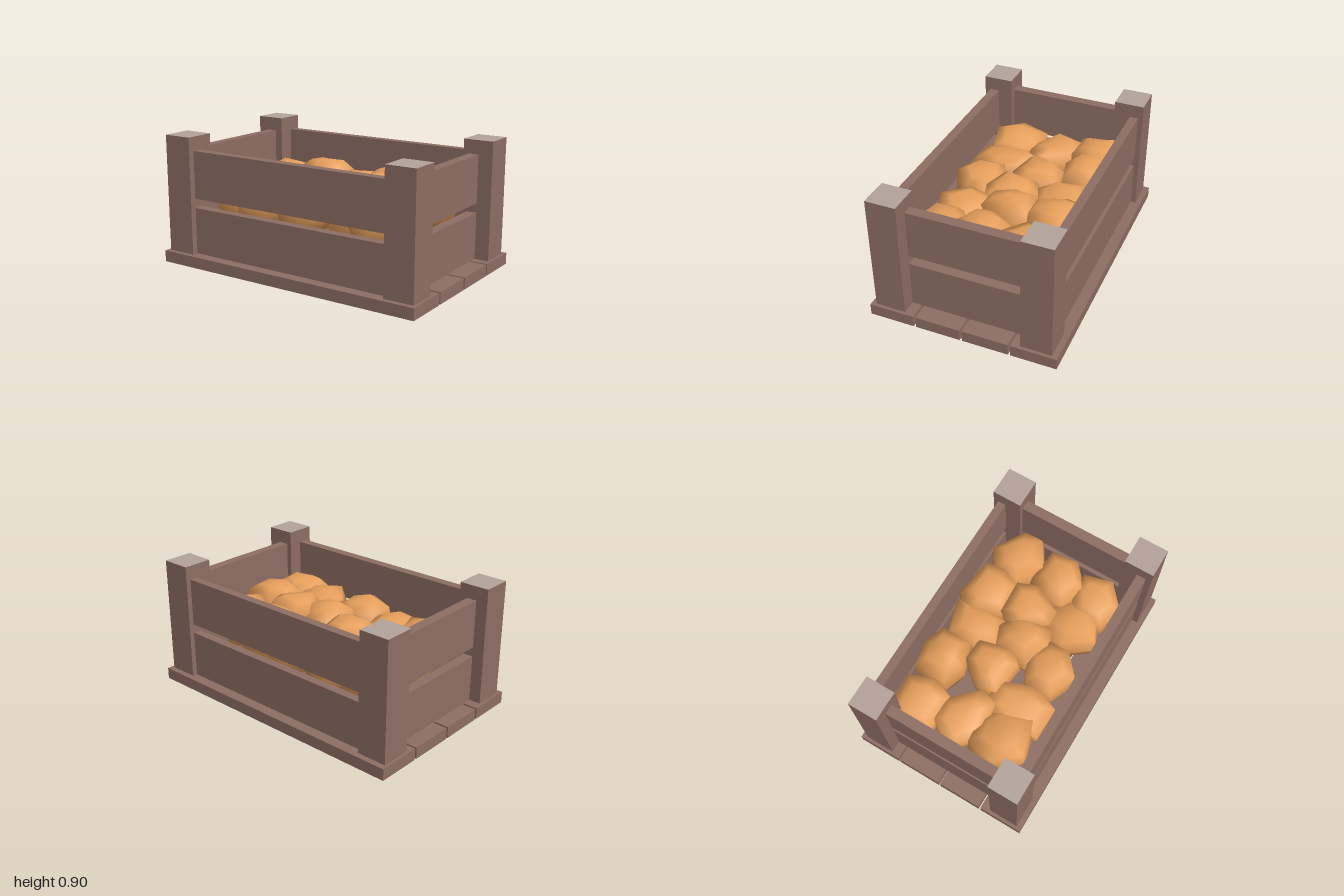
import * as THREE from 'three';

const wood = new THREE.MeshStandardMaterial({ name: 'brown wood', color: 0x8d6e63 });
const cutWood = new THREE.MeshStandardMaterial({ name: 'pale cut wood', color: 0xb3a29a });
const orange = new THREE.MeshStandardMaterial({ name: 'orange produce', color: 0xe8a05c });

// Box given by its limits on each axis
function box(name, [x0, x1], [y0, y1], [z0, z1], material = wood) {
  const mesh = new THREE.Mesh(new THREE.BoxGeometry(x1 - x0, y1 - y0, z1 - z0), material);
  mesh.position.set((x0 + x1) / 2, (y0 + y1) / 2, (z0 + z1) / 2);
  mesh.name = name;
  return mesh;
}

function seeded(seed) {
  let s = seed * 7919 + 17;
  return () => (s = (s * 16807) % 2147483647) / 2147483647;
}

// Irregular chunky lump: stacked six-sided rings closed by a point at each end
function lumpGeometry(w, d, h, seed) {
  const random = seeded(seed);
  const sides = 6;
  const rings = [[0, 0.78], [0.42, 1], [0.8, 0.93], [0.95, 0.55]];
  const turn = random() * 6;
  const outline = [];
  for (let i = 0; i < sides; i++) {
    const a = turn + ((i + (random() - 0.5) * 0.5) / sides) * Math.PI * 2;
    const c = Math.cos(a), s = Math.sin(a);
    const r = 0.55 / Math.pow(c ** 4 + s ** 4, 0.2);
    outline.push([c * r * w, s * r * d]);
  }
  const points = [0, -0.02, 0];
  for (const [y, k] of rings) {
    for (const [x, z] of outline) points.push(x * k, y * h + (random() - 0.5) * 0.03, z * k);
  }
  points.push(0, h, 0);
  const index = [];
  const last = 1 + rings.length * sides;
  for (let i = 0; i < sides; i++) {
    const j = (i + 1) % sides;
    index.push(0, 1 + i, 1 + j);
    for (let r = 0; r < rings.length - 1; r++) {
      const a = 1 + r * sides + i, b = 1 + r * sides + j;
      index.push(a, a + sides, b, b, a + sides, b + sides);
    }
    index.push(last, last - sides + j, last - sides + i);
  }
  const geometry = new THREE.BufferGeometry();
  geometry.setAttribute('position', new THREE.Float32BufferAttribute(points, 3));
  geometry.setIndex(index);
  geometry.computeVertexNormals();
  return geometry;
}

export function createModel() {
  const crate = new THREE.Group();
  crate.name = 'crate';

  // Floor planks with narrow gaps
  for (const z of [[-0.65, -0.34], [-0.325, -0.008], [0.008, 0.32], [0.337, 0.65]]) {
    crate.add(box('floorPlank', [-1, 1], [0, 0.08], z));
  }

  // Corner posts with pale end grain
  const postMaterials = [wood, wood, cutWood, wood, wood, wood];
  for (const x of [-0.873, 0.873]) {
    for (const z of [-0.505, 0.51]) {
      crate.add(box('cornerPost', [x - 0.105, x + 0.105], [0.08, 0.9], [z - 0.105, z + 0.105], postMaterials));
    }
  }

  // Two boards on every side
  for (const y of [[0.07, 0.405], [0.47, 0.803]]) {
    crate.add(box('frontBoard', [-0.79, 0.79], y, [0.507, 0.573]));
    crate.add(box('backBoard', [-0.79, 0.79], y, [-0.575, -0.515]));
    crate.add(box('leftBoard', [0.805, 0.877], y, [-0.42, 0.42]));
    crate.add(box('rightBoard', [-0.895, -0.825], y, [-0.42, 0.42]));
  }

  // Heap of produce: x, z, width, depth, top height
  const heap = [
    [-0.645, -0.33, 0.36, 0.36, 0.6], [-0.32, -0.34, 0.36, 0.31, 0.65], [-0.02, -0.32, 0.31, 0.4, 0.6],
    [0.26, -0.33, 0.36, 0.36, 0.66], [0.57, -0.27, 0.36, 0.38, 0.64],
    [-0.58, -0.04, 0.44, 0.34, 0.58], [-0.2, -0.05, 0.34, 0.33, 0.62], [0.06, 0.06, 0.32, 0.35, 0.64],
    [0.3, -0.05, 0.32, 0.35, 0.67], [0.57, 0.05, 0.34, 0.36, 0.66],
    [-0.6, 0.29, 0.39, 0.38, 0.6], [-0.33, 0.25, 0.34, 0.44, 0.58], [-0.03, 0.31, 0.34, 0.35, 0.61],
    [0.32, 0.29, 0.37, 0.4, 0.6], [0.58, 0.32, 0.34, 0.35, 0.63],
  ];
  const produce = new THREE.Group();
  produce.name = 'produce';
  heap.forEach(([x, z, w, d, top], i) => {
    const random = seeded(i + 50);
    random();
    const lump = new THREE.Mesh(lumpGeometry(w, d, top - 0.33, i + 3), orange);
    lump.name = 'lump';
    lump.position.set(x, 0.33, z);
    lump.rotation.set((random() - 0.5) * 0.3, 0, (random() - 0.5) * 0.3);
    produce.add(lump);
  });
  crate.add(produce);
  return crate;
}
